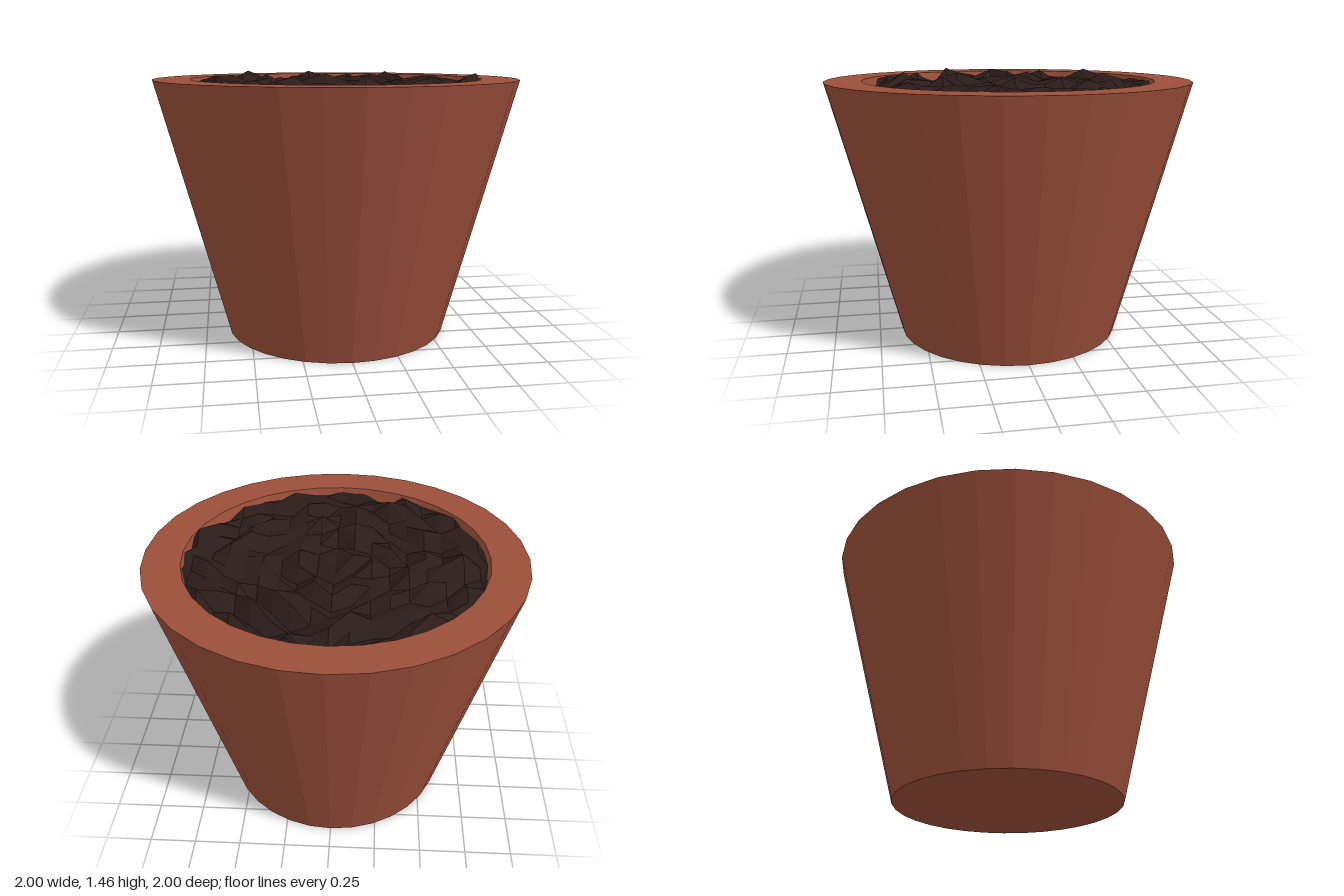
import * as THREE from 'three';

const RIM_Y = 1.425;
const SIDES = 32;

// Small seeded random generator
function seeded(seed) {
  return () => {
    seed = (seed * 1664525 + 1013904223) % 4294967296;
    return seed / 4294967296;
  };
}

// Tapered wall: closed profile from the base, over the rim and down to the inner floor
function createPot() {
  const profile = [
    [0, 0], [0.62, 0], [1, RIM_Y], [0.8, RIM_Y], [0.47, 0.16], [0, 0.16],
  ].map(([r, y]) => new THREE.Vector2(r, y));
  const pot = new THREE.Mesh(
    new THREE.LatheGeometry(profile, SIDES),
    new THREE.MeshStandardMaterial({ color: 0x9c4f3a, flatShading: true }),
  );
  pot.name = 'pot';
  return pot;
}

// Lumpy soil: a square grid with random heights, pulled in to the pot's inner wall
function createSoil() {
  const cells = 18, step = 0.0935, half = (cells * step) / 2;
  const random = seeded(7);
  const positions = [], outside = [], indices = [];
  for (let row = 0; row <= cells; row++) {
    for (let col = 0; col <= cells; col++) {
      let x = col * step - half, z = row * step - half;
      let y = 1.392 + (random() + random() - 1) * 0.075;
      const r = Math.hypot(x, z);
      const beyond = r > 0.785;
      if (beyond) {
        y = Math.min(y, 1.41);
        const wall = 0.8 - (RIM_Y - y) * 0.26;
        x *= wall / r;
        z *= wall / r;
      }
      outside.push(beyond);
      positions.push(x, y, z);
    }
  }
  const addTriangle = (a, b, c) => {
    if (!(outside[a] && outside[b] && outside[c])) indices.push(a, b, c);
  };
  for (let row = 0; row < cells; row++) {
    for (let col = 0; col < cells; col++) {
      const a = row * (cells + 1) + col, b = a + 1;
      const c = a + cells + 1, d = c + 1;
      // Diagonals run across the radius so the edge follows the circle
      if ((row < cells / 2) === (col < cells / 2)) {
        addTriangle(a, c, b);
        addTriangle(b, c, d);
      } else {
        addTriangle(a, c, d);
        addTriangle(a, d, b);
      }
    }
  }
  const geometry = new THREE.BufferGeometry();
  geometry.setAttribute('position', new THREE.Float32BufferAttribute(positions, 3));
  geometry.setIndex(indices);
  geometry.computeVertexNormals();
  const soil = new THREE.Mesh(geometry, new THREE.MeshStandardMaterial({
    color: 0x2a1c18, flatShading: true, side: THREE.DoubleSide,
  }));
  soil.name = 'soil';
  return soil;
}

export function createModel() {
  const model = new THREE.Group();
  model.name = 'flowerPot';
  model.add(createPot(), createSoil());
  return model;
}
